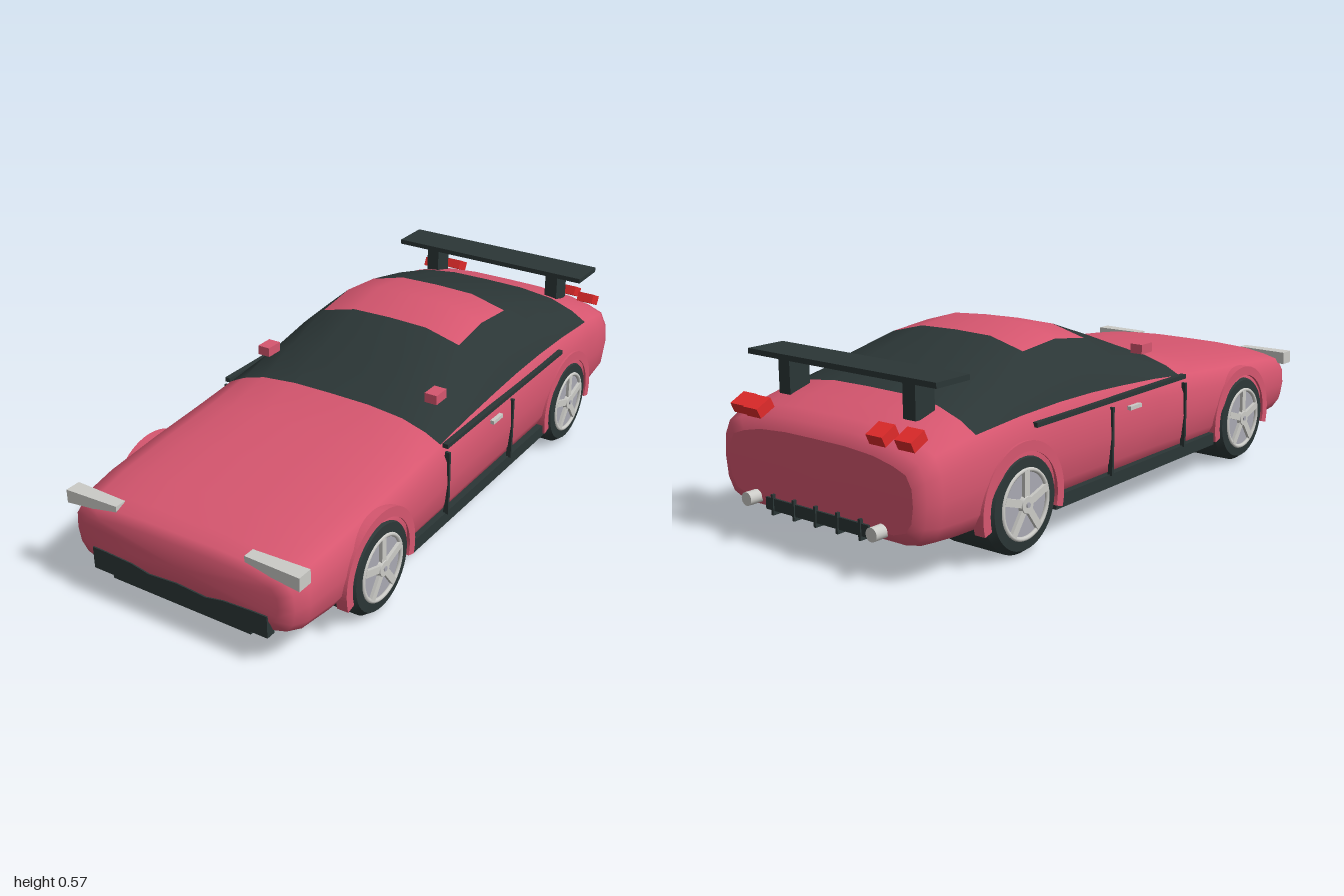
import * as THREE from 'three';
import { toCreasedNormals } from 'three/addons/utils/BufferGeometryUtils.js';

const mat = (name, color) => {
  const m = new THREE.MeshStandardMaterial({ color });
  m.name = name;
  return m;
};

export function createModel() {
  const car = new THREE.Group();
  car.name = 'car';
  const paint = mat('pinkPaint', 0xd6566f);
  const dark = mat('darkTrim', 0x2b3636);
  const silver = mat('silver', 0xcbcbc7);
  const rimGrey = mat('rimGrey', 0xa9a9b2);
  const red = mat('tailRed', 0xe02a2a);

  const add = (name, geo, material, x = 0, y = 0, z = 0, parent = car) => {
    const m = new THREE.Mesh(geo, material);
    m.name = name;
    m.position.set(x, y, z);
    parent.add(m);
    return m;
  };
  const box = (name, material, w, h, d, x, y, z, parent) =>
    add(name, new THREE.BoxGeometry(w, h, d), material, x, y, z, parent);

  // Body stations, rear to front: z, half width, bottom, beltline, top
  const stations = [
    [-0.96, 0.355, 0.135, 0.305, 0.345], [-0.945, 0.39, 0.11, 0.335, 0.38],
    [-0.9, 0.405, 0.098, 0.35, 0.402], [-0.83, 0.412, 0.094, 0.363, 0.426],
    [-0.75, 0.414, 0.092, 0.375, 0.45], [-0.56, 0.414, 0.092, 0.388, 0.512],
    [-0.385, 0.414, 0.092, 0.393, 0.556], [-0.23, 0.414, 0.092, 0.391, 0.574],
    [-0.085, 0.414, 0.092, 0.384, 0.548], [0.1, 0.414, 0.092, 0.372, 0.483],
    [0.25, 0.414, 0.092, 0.357, 0.42], [0.42, 0.414, 0.092, 0.342, 0.386],
    [0.62, 0.414, 0.092, 0.327, 0.366], [0.82, 0.409, 0.097, 0.31, 0.346],
    [0.93, 0.398, 0.102, 0.296, 0.327], [0.975, 0.38, 0.115, 0.283, 0.308],
    [0.995, 0.34, 0.15, 0.262, 0.285],
  ];
  // Half section: width fraction, height fraction (below / above the beltline)
  const lower = [[0, 0], [0.5, 0], [0.8, 0], [0.92, 0.08], [0.98, 0.25], [1, 0.52], [0.99, 0.8]];
  const upper = [[0.935, 0], [0.81, 0.41], [0.615, 0.79], [0.325, 0.98], [0, 1]];
  const section = ([z, w, yb, belt, top]) => {
    const half = [
      ...lower.map(([a, b]) => [a * w, yb + b * (belt - yb), z]),
      ...upper.map(([a, b]) => [a * w, belt + b * (top - belt), z]),
    ];
    const mirror = half.slice(1, -1).reverse().map(([x, y]) => [-x, y, z]);
    return [...half, ...mirror];
  };
  const rings = stations.map(section);
  const N = rings[0].length;
  const verts = rings.flat();
  const painted = [], glass = [];
  for (let i = 0; i < rings.length - 1; i++) {
    const zm = (stations[i][0] + stations[i + 1][0]) / 2;
    for (let j = 0; j < N; j++) {
      const a = i * N + j, b = i * N + (j + 1) % N;
      const cabin = zm > -0.75 && zm < 0.25 && j >= 7 && j <= 14;
      const roof = zm > -0.385 && zm < -0.085 && j >= 9 && j <= 12;
      (cabin && !roof ? glass : painted).push(a, b, a + N, b, b + N, a + N);
    }
  }
  // Rounded nose cap, sharp-edged tail cap
  const nose = verts.push([0, 0.215, 0.998]) - 1;
  const tail = verts.push(...rings[0]) - N;
  const tailMid = verts.push([0, 0.23, -0.962]) - 1;
  for (let j = 0; j < N; j++) {
    const k = (j + 1) % N, f = (rings.length - 1) * N;
    painted.push(nose, f + j, f + k, tailMid, tail + k, tail + j);
  }
  const bodyGeo = new THREE.BufferGeometry();
  bodyGeo.setAttribute('position', new THREE.Float32BufferAttribute(verts.flat(), 3));
  bodyGeo.setIndex([...painted, ...glass]);
  bodyGeo.addGroup(0, painted.length, 0);
  bodyGeo.addGroup(painted.length, glass.length, 1);
  bodyGeo.computeVertexNormals();
  add('bodyShell', bodyGeo, [paint, dark]);

  // Wheels, built with the outer face towards +x
  const tyreGeo = toCreasedNormals(new THREE.LatheGeometry(
    [[0, -0.102], [0.147, -0.102], [0.147, 0.078], [0.132, 0.1], [0.104, 0.102], [0.1, 0.092], [0, 0.092]]
      .map(([r, y]) => new THREE.Vector2(r, y)), 40), 0.5).rotateZ(-Math.PI / 2);
  const discGeo = new THREE.CylinderGeometry(0.1, 0.1, 0.006, 40).rotateZ(-Math.PI / 2);
  const hubGeo = new THREE.CylinderGeometry(0.024, 0.028, 0.014, 20).rotateZ(-Math.PI / 2);
  const nutGeo = new THREE.CylinderGeometry(0.008, 0.008, 0.004, 10).rotateZ(-Math.PI / 2);
  const lipGeo = new THREE.TorusGeometry(0.098, 0.007, 8, 40).rotateY(Math.PI / 2);
  const makeWheel = (x, z) => {
    const wheel = new THREE.Group();
    wheel.name = 'wheel';
    wheel.position.set(x, 0.147, z);
    if (x < 0) wheel.rotation.y = Math.PI;
    add('tyre', tyreGeo, dark, 0, 0, 0, wheel);
    add('rimDisc', discGeo, rimGrey, 0.094, 0, 0, wheel);
    add('rimLip', lipGeo, silver, 0.1, 0, 0, wheel);
    add('hub', hubGeo, silver, 0.103, 0, 0, wheel);
    add('hubNut', nutGeo, rimGrey, 0.111, 0, 0, wheel);
    for (let i = 0; i < 5; i++) {
      const a = (i / 5) * Math.PI * 2;
      const s = box('spoke', silver, 0.012, 0.08, 0.022, 0.101, Math.cos(a) * 0.056, Math.sin(a) * 0.056, wheel);
      s.rotation.x = a;
    }
    car.add(wheel);
  };

  // Wheel arch ring
  const arch = new THREE.Shape();
  arch.absarc(0, 0, 0.178, -0.28, Math.PI + 0.28, false);
  arch.absarc(0, 0, 0.148, Math.PI + 0.28, -0.28, true);
  const archGeo = new THREE.ExtrudeGeometry(arch, { depth: 0.036, bevelEnabled: false, curveSegments: 32 })
    .translate(0, 0, -0.018).rotateY(Math.PI / 2);

  // Headlight bar, thinner towards the middle
  const lampGeo = (s) => {
    const g = new THREE.BoxGeometry(0.18, 0.042, 0.05);
    const p = g.attributes.position;
    for (let i = 0; i < p.count; i++) {
      if (p.getX(i) * s < 0) {
        if (p.getY(i) < 0) p.setY(i, -0.005);
        p.setZ(i, p.getZ(i) * 0.75);
      }
    }
    g.computeVertexNormals();
    return g;
  };

  const pipeGeo = new THREE.CylinderGeometry(0.02, 0.02, 0.09, 20).rotateX(Math.PI / 2);
  for (const s of [1, -1]) {
    for (const z of [0.615, -0.58]) {
      makeWheel(s * 0.317, z);
      add('wheelArch', archGeo, paint, s * 0.399, 0.147, z);
    }
    add('headlight', lampGeo(s), silver, s * 0.312, 0.299, 0.958);
    box('mirror', paint, 0.042, 0.03, 0.058, s * 0.308, 0.454, 0.148);
    box('sill', dark, 0.036, 0.04, 0.87, s * 0.392, 0.11, 0.005);
    box('beltStrip', dark, 0.018, 0.014, 0.77, s * 0.403, 0.357, -0.135);
    for (const z of [0.245, -0.16]) box('doorGap', dark, 0.016, 0.21, 0.009, s * 0.41, 0.232, z);
    box('doorHandle', silver, 0.016, 0.012, 0.06, s * 0.415, 0.318, -0.048);
    // Rear lamps, exhausts and wing posts
    for (const [x, y, z] of [[0.318, 0.388, -0.922], [0.238, 0.394, -0.944]]) {
      box('tailLamp', red, 0.058, 0.032, 0.056, s * x, y, z).rotation.x = -0.45;
    }
    add('exhaust', pipeGeo, silver, s * 0.243, 0.138, -0.955);
    box('wingPost', dark, 0.045, 0.11, 0.075, s * 0.24, 0.466, -0.807);
  }
  box('wing', dark, 0.72, 0.016, 0.13, 0, 0.525, -0.805);

  // Rear diffuser with fins
  box('diffuser', dark, 0.4, 0.035, 0.05, 0, 0.128, -0.942);
  for (let i = -2; i <= 2; i++) box('diffuserFin', dark, 0.008, 0.06, 0.05, i * 0.085, 0.128, -0.946);

  // Front intake with a wavy upper edge, and the lip below it
  const intake = new THREE.Shape([
    [-0.305, 0.103], [0.305, 0.103], [0.305, 0.172], [0.265, 0.172], [0.16, 0.167], [0.1, 0.155],
    [0, 0.162], [-0.1, 0.155], [-0.16, 0.167], [-0.265, 0.172], [-0.305, 0.172],
  ].map(([x, y]) => new THREE.Vector2(x, y)));
  add('frontIntake', new THREE.ExtrudeGeometry(intake, { depth: 0.03, bevelEnabled: false }), dark, 0, 0, 0.97);
  box('frontLip', dark, 0.486, 0.014, 0.07, 0, 0.093, 0.957);

  return car;
}
